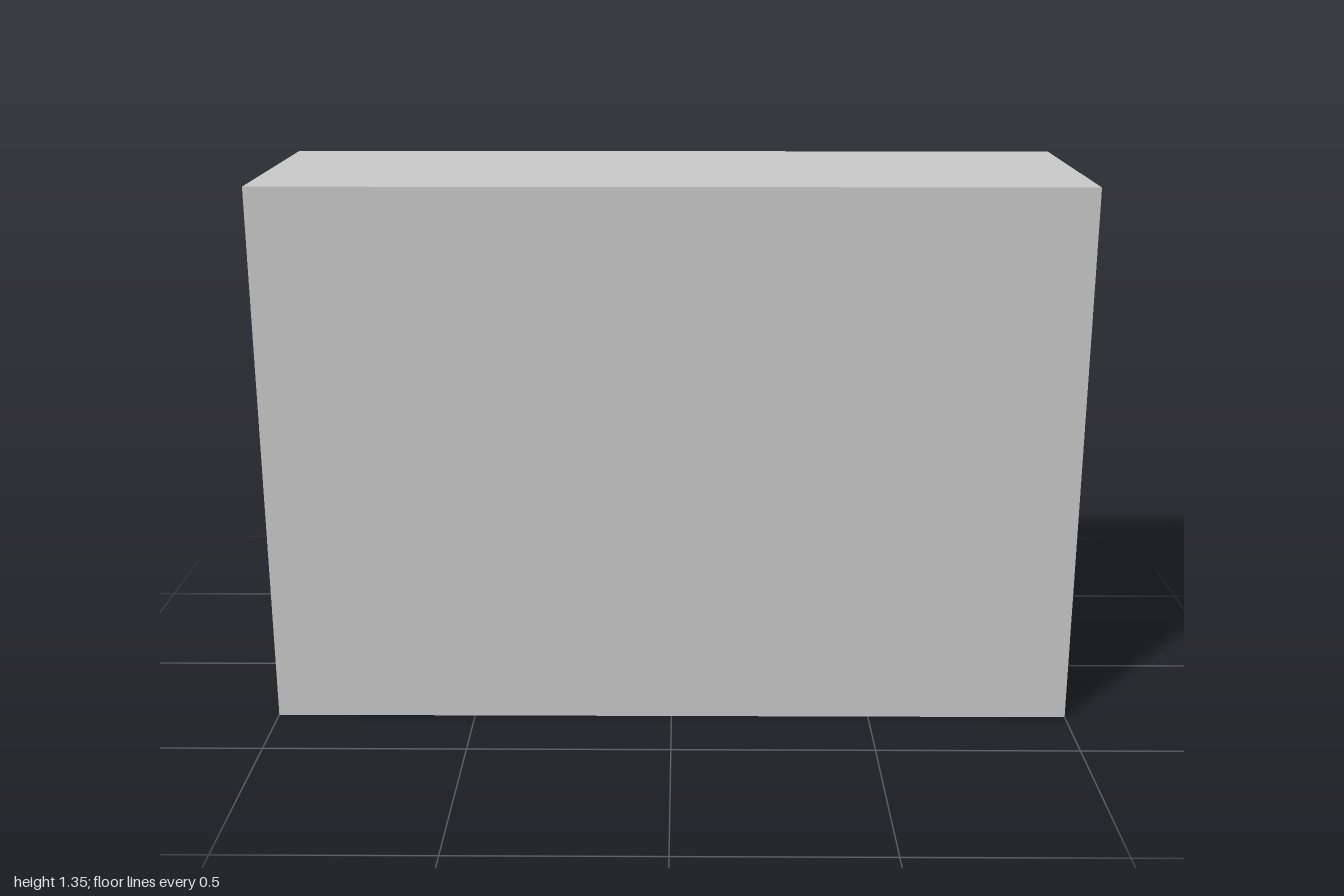
import * as THREE from 'three';

const W = 2, H = 1.35, D = 0.63; // overall size
const T = 0.042;                 // board thickness

export function createModel() {
  const group = new THREE.Group();
  group.name = 'bookcase';
  const material = new THREE.MeshStandardMaterial({ color: 0xcccccc });

  const board = (name, w, h, d, x, y, z) => {
    const mesh = new THREE.Mesh(new THREE.BoxGeometry(w, h, d), material);
    mesh.name = name;
    mesh.position.set(x, y, z);
    group.add(mesh);
  };

  // Closed panel across the front
  board('frontPanel', W, H, T, 0, H / 2, (D - T) / 2);

  // Upright sides
  const depth = D - T;
  for (const [name, s] of [['leftSide', 1], ['rightSide', -1]]) {
    board(name, T, H, depth, s * (W - T) / 2, H / 2, -T / 2);
  }

  // Bottom, middle shelf and top, evenly spaced and open to the rear
  ['bottomBoard', 'middleShelf', 'topBoard'].forEach((name, i) => {
    board(name, W - 2 * T, T, depth, 0, T / 2 + i * (H - T) / 2, -T / 2);
  });

  return group;
}
